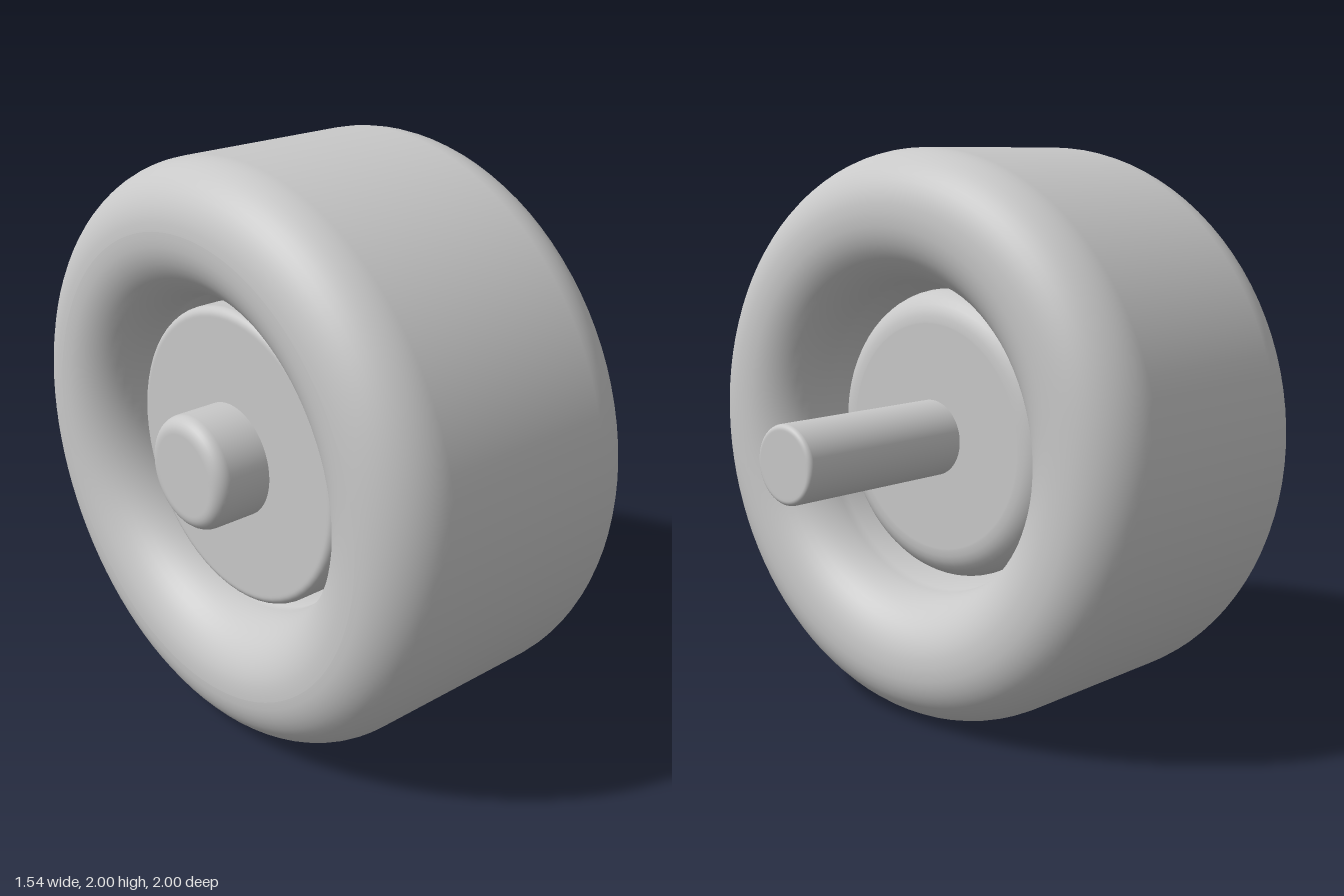
import * as THREE from 'three';

const CENTRE = -0.2; // middle of the tyre along the axle

// Points of a quarter-round (or elliptical) corner; each point is (radius, position along axle).
function corner(cr, cx, rr, rx, from, to, steps = 12) {
  const pts = [];
  for (let i = 0; i <= steps; i++) {
    const a = THREE.MathUtils.degToRad(from + ((to - from) * i) / steps);
    pts.push(new THREE.Vector2(cr + rr * Math.cos(a), cx + rx * Math.sin(a)));
  }
  return pts;
}

// Solid of revolution about the x axis.
function turned(name, points, material, segments = 96) {
  const mesh = new THREE.Mesh(new THREE.LatheGeometry(points, segments), material);
  mesh.rotation.z = -Math.PI / 2;
  mesh.name = name;
  return mesh;
}

// Disc or rod with rounded ends; b0 and b1 are the bevels at the low and high end.
function roundedRod(name, radius, x0, x1, b0, b1, material) {
  const v = (r, x) => new THREE.Vector2(r, x);
  const points = [
    v(0, x0), v(radius - b0 - 0.006, x0),
    ...corner(radius - b0, x0 + b0, b0, b0, -90, 0, 8),
    ...corner(radius - b1, x1 - b1, b1, b1, 0, 90, 8),
    v(radius - b1 - 0.006, x1), v(0, x1),
  ];
  return turned(name, points, material, 64);
}

export function createModel() {
  const grey = new THREE.MeshStandardMaterial({ color: 0xc8c8c8 });
  grey.name = 'light grey';

  const wheel = new THREE.Group();
  wheel.name = 'wheel';

  // Tyre: rounded section, with a bore that narrows slightly towards the hub
  const half = 0.533;
  const tyre = [
    ...corner(0.79, -half + 0.21, 0.21, 0.21, -90, 0),
    ...corner(0.79, half - 0.21, 0.21, 0.21, 0, 90),
    ...corner(0.77, half - 0.24, 0.225, 0.24, 90, 180),
    new THREE.Vector2(0.51, 0.18),
    new THREE.Vector2(0.51, -0.25),
    ...corner(0.77, -half + 0.24, 0.225, 0.24, 180, 270),
    new THREE.Vector2(0.79, -half),
  ];
  const tyreMesh = turned('tyre', tyre, grey);
  tyreMesh.position.x = CENTRE;

  // Hub disc, softly rounded on the axle side
  const hub = roundedRod('hub', 0.515, -0.57, 0.1, 0.03, 0.11, grey);

  // Axle and the raised cap on its outer end
  const axle = roundedRod('axle', 0.133, -0.4, 0.77, 0.015, 0.018, grey);
  const cap = roundedRod('axleCap', 0.195, -0.77, -0.5, 0.05, 0.01, grey);

  wheel.add(tyreMesh, hub, axle, cap);
  wheel.position.y = 1;

  const model = new THREE.Group();
  model.name = 'wheelWithAxle';
  model.add(wheel);
  return model;
}
